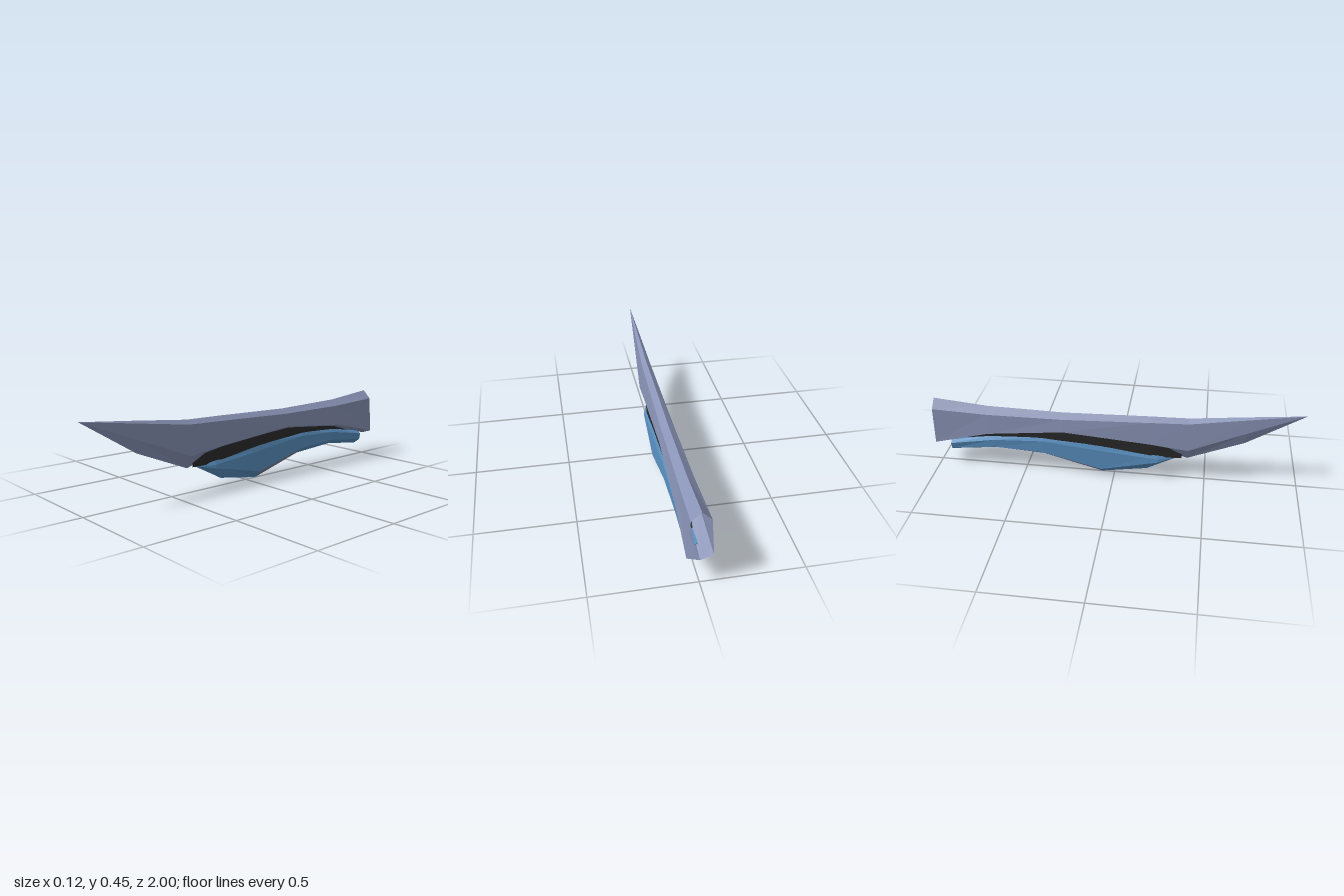
import * as THREE from 'three';

const mat = (name, color, side = THREE.FrontSide) => {
  const m = new THREE.MeshStandardMaterial({ color, side, flatShading: true });
  m.name = name;
  return m;
};

// Mirrored loft. Each station is [z, [x, y], ...], listed from the top centre
// round the +x side to the bottom centre; stations run from front to back.
// pick(band, station) tells which faces to keep.
function loft(stations, { pick = () => true, capBack = false } = {}) {
  const pos = [];
  const tri = (a, b, c) => {
    const area = b.clone().sub(a).cross(c.clone().sub(a)).length();
    if (area < 1e-8) return;
    for (const p of [a, b, c]) pos.push(p.x, p.y, p.z);
    for (const p of [a, c, b]) pos.push(-p.x, p.y, p.z);
  };
  const rows = stations.map(([z, ...pts]) => pts.map(([x, y]) => new THREE.Vector3(x, y, z)));
  for (let i = 0; i < rows.length - 1; i++) {
    for (let j = 0; j < rows[i].length - 1; j++) {
      if (!pick(j, i)) continue;
      const a = rows[i][j], b = rows[i][j + 1], c = rows[i + 1][j + 1], d = rows[i + 1][j];
      tri(a, b, c);
      tri(a, c, d);
    }
  }
  if (capBack) {
    const r = rows[rows.length - 1];
    for (let j = 1; j < r.length - 1; j++) tri(r[0], r[j], r[j + 1]);
  }
  const g = new THREE.BufferGeometry();
  g.setAttribute('position', new THREE.Float32BufferAttribute(pos, 3));
  g.computeVertexNormals();
  return g;
}

export function createModel() {
  const model = new THREE.Group();
  const shellGrey = mat('shell grey blue', 0x8993b6, THREE.DoubleSide);
  const bodyBlue = mat('body blue', 0x5a91c2, THREE.DoubleSide);
  const bellyMauve = mat('belly mauve', 0x857f98, THREE.DoubleSide);
  const coreBlack = mat('core black', 0x2c2c2c);

  const add = (name, geometry, material) => {
    const mesh = new THREE.Mesh(geometry, material);
    mesh.name = name;
    model.add(mesh);
  };

  // Upper shell, hollow and open at the back: ridge, shoulder, lower rim, keel
  const shell = [
    [1.0, [0, 0.45], [0, 0.45], [0, 0.45], [0, 0.45]],
    [0.7, [0, 0.42], [0.013, 0.408], [0.018, 0.328], [0, 0.26]],
    [0.4, [0, 0.388], [0.025, 0.366], [0.037, 0.205], [0, 0.135]],
    [0.2, [0, 0.384], [0.028, 0.36], [0.04, 0.23], [0, 0.2]],
    [-0.28, [0, 0.37], [0.035, 0.344], [0.047, 0.272], [0, 0.24]],
    [-0.7, [0, 0.378], [0.041, 0.345], [0.054, 0.23], [0, 0.205]],
    [-1.0, [0, 0.406], [0.047, 0.36], [0.062, 0.156], [0, 0.135]],
  ];
  add('upperShell', loft(shell), shellGrey);

  // Dark core filling the gap between the shell and the lower body
  const core = [
    [0.37, [0, 0.2], [0.008, 0.19], [0.008, 0.137], [0, 0.135]],
    [0.2, [0, 0.235], [0.032, 0.228], [0.03, 0.14], [0, 0.13]],
    [-0.07, [0, 0.25], [0.036, 0.25], [0.032, 0.17], [0, 0.16]],
    [-0.3, [0, 0.262], [0.038, 0.262], [0.034, 0.2], [0, 0.19]],
    [-0.67, [0, 0.225], [0.034, 0.225], [0.03, 0.18], [0, 0.17]],
    [-0.85, [0, 0.17], [0.02, 0.17], [0.02, 0.15], [0, 0.145]],
  ];
  add('darkCore', loft(core, { capBack: true }), coreBlack);

  // Lower body: top centre, inner top edge, upper edge, lower edge, keel
  const body = [
    [0.35, [0, 0.137], [0, 0.137], [0, 0.137], [0, 0.137], [0, 0.137]],
    [0.24, [0, 0.152], [0.028, 0.152], [0.037, 0.133], [0.04, 0.115], [0, 0.078]],
    [0.18, [0, 0.162], [0.028, 0.162], [0.038, 0.139], [0.041, 0.102], [0, 0.045]],
    [-0.07, [0, 0.2], [0.03, 0.2], [0.042, 0.165], [0.045, 0.046], [0, 0.004]],
    [-0.4, [0, 0.225], [0.03, 0.225], [0.043, 0.2], [0.045, 0.13], [0, 0.094]],
    [-0.67, [0, 0.207], [0.03, 0.207], [0.045, 0.187], [0.043, 0.14], [0, 0.11]],
    [-0.92, [0, 0.158], [0.03, 0.158], [0.048, 0.145], [0.04, 0.108], [0, 0.08]],
  ];
  const isBelly = (band, station) => band === 3 && station === 3;
  add('lowerBody', loft(body, { pick: (j, i) => !isBelly(j, i), capBack: true }), bodyBlue);
  add('bellyPanel', loft(body, { pick: isBelly }), bellyMauve);

  return model;
}
